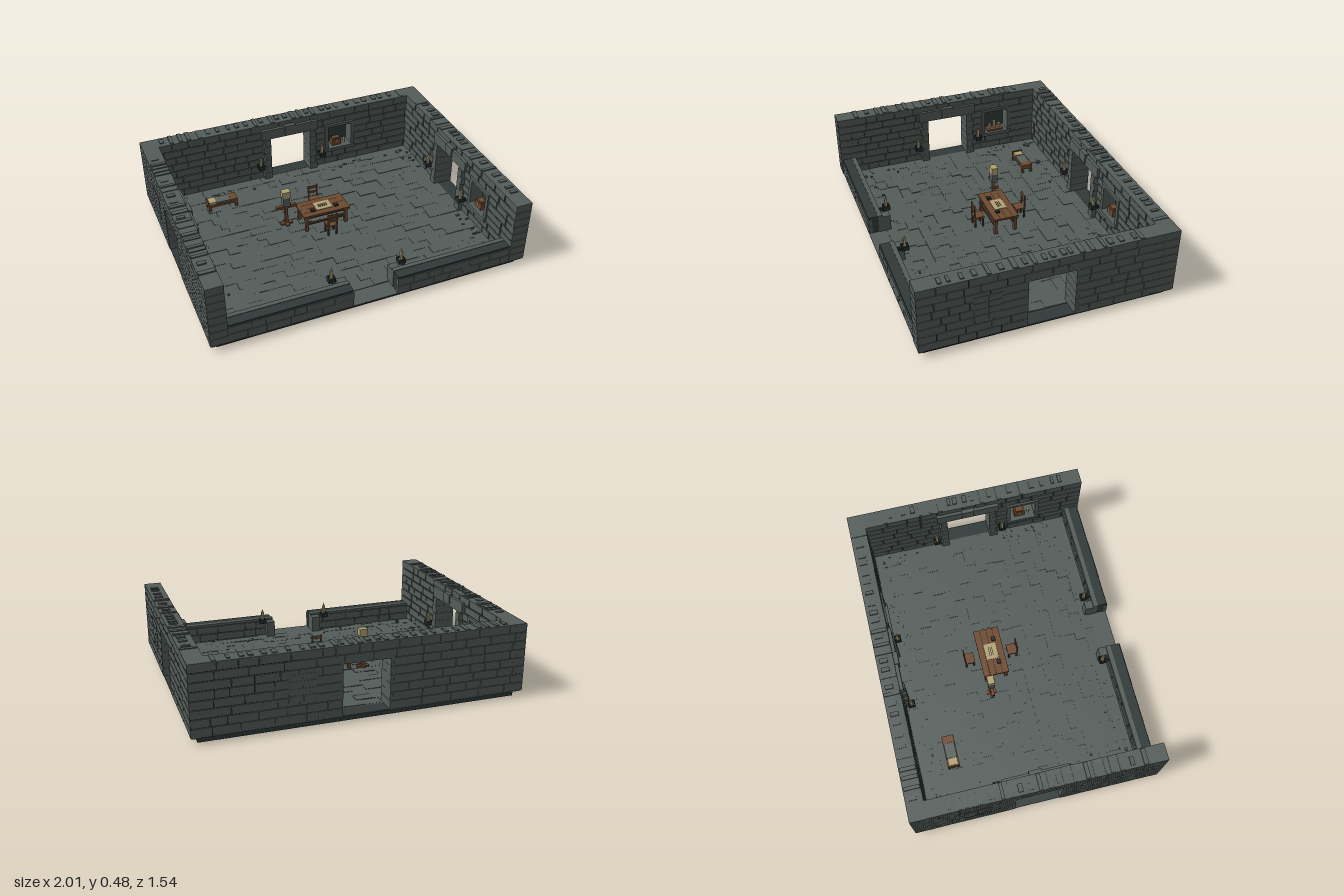
import * as THREE from 'three';
import { mergeGeometries } from 'three/addons/utils/BufferGeometryUtils.js';

const mat = (name, color) => Object.assign(new THREE.MeshStandardMaterial({ color }), { name });
const M = {
  stone: mat('stone grey', 0x545d5a),
  dark: mat('dark mortar', 0x303a39),
  iron: mat('dark iron', 0x262d2d),
  wood: mat('brown wood', 0x6e4a30),
  deep: mat('dark wood', 0x4f3423),
  cloth: mat('grey cloth', 0x59625f),
  tan: mat('parchment tan', 0xb3a275),
};

let seed = 7;
const rnd = (a = 0, b = 1) => {
  seed = (seed * 16807) % 2147483647;
  return a + (b - a) * (seed / 2147483647);
};

// box given by its minimum and maximum corners
const box = (x0, x1, y0, y1, z0, z1) =>
  new THREE.BoxGeometry(x1 - x0, y1 - y0, z1 - z0).translate((x0 + x1) / 2, (y0 + y1) / 2, (z0 + z1) / 2);

function part(parent, name, material, geos) {
  const mesh = new THREE.Mesh(mergeGeometries(geos.map((g) => (g.index ? g.toNonIndexed() : g))), material);
  mesh.name = name;
  parent.add(mesh);
  return mesh;
}

function group(parent, name, x = 0, y = 0, z = 0, ry = 0) {
  const g = new THREE.Group();
  g.name = name;
  g.position.set(x, y, z);
  g.rotation.y = ry;
  parent.add(g);
  return g;
}

const FLOOR = 0.045, COURSE = 0.0528, TOP = 0.467;

// courses of stones with random lengths, leaving out the openings [u0, u1, y0, y1]
function courses(u0, u1, rows, z0, z1, gap, openings) {
  const out = [];
  for (let r = 0; r < rows; r++) {
    const ya = FLOOR + r * COURSE, yb = ya + COURSE, mid = (ya + yb) / 2;
    let spans = [[u0, u1]];
    for (const [a, b, c, d] of openings) {
      if (mid < c || mid > d) continue;
      spans = spans.flatMap(([s, e]) => (b <= s || a >= e ? [[s, e]] : [[s, a], [b, e]]));
    }
    for (const [s, e] of spans) {
      let u = s;
      while (u < e - 0.001) {
        let n = u + rnd(0.07, 0.2);
        if (e - n < 0.06) n = e;
        const a = u === s ? u : u + gap / 2, b = n === e ? n : n - gap / 2;
        out.push(box(a, b, ya + gap / 2, yb - gap / 2, z0, z1 - rnd(0, 0.003)));
        u = n;
      }
    }
  }
  return out;
}

const rectHole = (a, b, c, d) =>
  new THREE.Path([[a, c], [a, d], [b, d], [b, c]].map((p) => new THREE.Vector2(...p)));

// mortar core with openings cut through
function core(u0, u1, z0, z1, holes) {
  const s = new THREE.Shape([[u0, FLOOR - 0.005], [u1, FLOOR - 0.005], [u1, TOP - 0.006], [u0, TOP - 0.006]]
    .map((p) => new THREE.Vector2(...p)));
  s.holes = holes.map((h) => rectHole(...h));
  return new THREE.ExtrudeGeometry(s, { depth: z1 - z0, bevelEnabled: false }).translate(0, 0, z0);
}

// tall wall: inner face at local z = 0, outside towards -z
function tallWall(parent, name, u0, u1, x, z, ry, contents) {
  const w = group(parent, name, x, 0, z, ry);
  const door = [-0.16, 0.16, FLOOR, 0.36], doorHole = [-0.15, 0.15, FLOOR, 0.36];
  const niche = [0.265, 0.485, 0.16, 0.35];
  part(w, 'wallCore', M.dark, [
    core(u0 + 0.004, u1 - 0.004, -0.085, -0.006, [doorHole, [0.285, 0.465, 0.17, 0.345]]),
    core(u0 + 0.004, u1 - 0.004, -0.099, -0.085, [doorHole]),
  ]);
  part(w, 'innerStones', M.stone, courses(u0, u1, 8, -0.03, 0.002, 0.009, [door, niche]));
  part(w, 'outerStones', M.stone, courses(u0, u1, 8, -0.105, -0.088, 0.004, [door]));
  // end quoins closing the wall ends
  const ends = [];
  for (let r = 0; r < 8; r++) {
    const y = FLOOR + r * COURSE, d = r % 2 ? 0.08 : 0.05;
    ends.push(box(u0 - 0.001, u0 + d, y + 0.002, y + COURSE - 0.002, -0.1055, -0.001));
    ends.push(box(u1 - d, u1 + 0.001, y + 0.002, y + COURSE - 0.002, -0.1055, -0.001));
  }
  part(w, 'quoins', M.stone, ends);
  // flat coping with small raised stones
  const cap = [box(u0, u1, TOP - 0.007, TOP, -0.105, 0)];
  for (let u = u0 + 0.12; u < u1 - 0.12; u += rnd(0.035, 0.08)) {
    const k = rnd() < 0.5;
    cap.push(box(u, u + rnd(0.018, 0.03), TOP, TOP + rnd(0.004, 0.01), k ? -0.1 : -0.085, k ? -0.004 : -0.035));
  }
  part(w, 'coping', M.stone, cap);
  // door surround
  const frame = [box(-0.205, 0.205, 0.36, 0.43, -0.02, 0.02), box(-0.16, 0.16, 0.358, 0.366, -0.104, 0),
    box(-0.04, 0.04, 0.375, 0.44, 0, 0.028)];
  for (const s of [-1, 1])
    for (let i = 0; i < 6; i++) {
      const y = FLOOR + i * 0.0525, e = i % 2 ? 0.185 : 0.195;
      frame.push(box(Math.min(s * 0.142, s * e), Math.max(s * 0.142, s * e), y, y + 0.051, -0.02, 0.028));
      frame.push(box(Math.min(s * 0.142, s * 0.165), Math.max(s * 0.142, s * 0.165), y, y + 0.051, -0.104, -0.02));
    }
  part(w, 'doorSurround', M.stone, frame);
  // niche surround and its blocked-up outer side
  part(w, 'nicheSurround', M.stone, [
    box(0.265, 0.485, 0.152, 0.177, -0.084, 0.02), box(0.265, 0.485, 0.342, 0.361, -0.084, 0.01),
    box(0.265, 0.29, 0.177, 0.342, -0.084, 0.01), box(0.46, 0.485, 0.177, 0.342, -0.084, 0.01),
  ]);
  const infill = [];
  for (let i = 0; i < 2; i++)
    for (let j = 0; j < 4; j++)
      infill.push(box(0.292 + i * 0.085, 0.373 + i * 0.085, 0.17 + j * 0.042, 0.209 + j * 0.042, -0.1075, -0.1));
  part(w, 'nicheInfill', M.stone, infill);
  contents(group(w, 'nicheContents', 0.375, 0.177, -0.03));
  for (const s of [-1, 1]) sconce(w, s * 0.225, 0.04);
}

// candle in an iron holder, bracketed to the wall behind
function sconce(parent, x, z, ry = 0) {
  const g = group(parent, 'sconce', x, 0, z, ry);
  const bars = [box(-0.022, 0.022, 0.15, 0.158, -0.022, 0.022), box(-0.006, 0.006, 0.145, 0.165, -0.045, 0)];
  for (const s of [-1, 1]) {
    bars.push(box(s * 0.019 - 0.003, s * 0.019 + 0.003, 0.158, 0.18, -0.022, 0.022));
    bars.push(box(-0.016, 0.016, 0.158, 0.18, s * 0.019 - 0.003, s * 0.019 + 0.003));
  }
  part(g, 'holder', M.iron, bars);
  part(g, 'candle', M.tan, [box(-0.008, 0.008, 0.158, 0.23, -0.008, 0.008),
    new THREE.ConeGeometry(0.007, 0.025, 6).translate(0, 0.242, 0)]);
}

const legs = (hx, hz, h, t) => [-1, 1].flatMap((i) => [-1, 1].map((j) =>
  box(i * hx - t, i * hx + t, 0, h, j * hz - t, j * hz + t)));

function chair(parent, z, ry) {
  const g = group(parent, 'chair', 0, FLOOR, z, ry);
  part(g, 'chairLegs', M.deep, legs(0.027, 0.025, 0.068, 0.005));
  part(g, 'chairSeat', M.wood, [box(-0.035, 0.035, 0.066, 0.078, -0.033, 0.033)]);
  part(g, 'chairBack', M.wood, [box(-0.034, -0.024, 0.078, 0.165, 0.025, 0.033), box(0.024, 0.034, 0.078, 0.165, 0.025, 0.033),
    box(-0.026, 0.026, 0.14, 0.16, 0.026, 0.032), box(-0.026, 0.026, 0.105, 0.12, 0.026, 0.032)]);
}

function table(parent) {
  const g = group(parent, 'table', -0.002, FLOOR, -0.057);
  const top = [];
  for (let i = 0; i < 4; i++) top.push(box(-0.158, 0.158, 0.107, 0.121, -0.082 + i * 0.041, -0.042 + i * 0.041));
  part(g, 'tableTop', M.wood, top);
  part(g, 'tableLegs', M.wood, legs(0.135, 0.065, 0.107, 0.01));
  part(g, 'tableRails', M.deep, [box(-0.135, 0.135, 0.045, 0.058, -0.071, -0.059), box(-0.135, 0.135, 0.045, 0.058, 0.059, 0.071),
    box(-0.135, 0.135, 0.092, 0.107, -0.07, 0.07)]);
  part(g, 'parchment', M.tan, [box(-0.053, 0.053, 0.121, 0.124, -0.04, 0.04)]);
  part(g, 'parchmentLines', M.iron, [-0.015, -0.004, 0.007].map((z) => box(-0.03, 0.03, 0.124, 0.1255, z, z + 0.004)));
  part(g, 'inkPots', M.iron, [-1, 1].map((s) => box(s * 0.08 - 0.013, s * 0.08 + 0.013, 0.121, 0.134, 0.02, 0.046)));
}

function bed(parent) {
  const g = group(parent, 'bed', -0.565, FLOOR, -0.453);
  part(g, 'bedFrame', M.wood, [...legs(0.09, 0.03, 0.05, 0.008), box(-0.1, 0.1, 0.035, 0.05, -0.038, 0.038),
    box(0.052, 0.1, 0.05, 0.066, -0.037, 0.037), box(-0.1, -0.092, 0.03, 0.075, -0.038, 0.038)]);
  part(g, 'blanket', M.cloth, [box(-0.044, 0.052, 0.05, 0.064, -0.033, 0.033)]);
  part(g, 'pillow', M.tan, [box(-0.09, -0.046, 0.05, 0.068, -0.03, 0.03)]);
}

function dummy(parent) {
  const g = group(parent, 'practiceDummy', -0.232, FLOOR, -0.113);
  part(g, 'dummyPost', M.wood, [box(-0.01, 0.01, 0, 0.16, -0.01, 0.01), box(-0.04, 0.04, 0, 0.012, -0.012, 0.012),
    box(-0.012, 0.012, 0, 0.012, -0.035, 0.035), box(-0.068, 0.068, 0.128, 0.148, -0.01, 0.01)]);
  part(g, 'dummyBody', M.cloth, [box(-0.023, 0.023, 0.148, 0.213, -0.02, 0.02)]);
  part(g, 'dummyHead', M.tan, [box(-0.027, 0.027, 0.213, 0.26, -0.022, 0.022)]);
}

// small stores kept in a niche
function stores(g) {
  part(g, 'chest', M.wood, [box(-0.05, 0.02, 0, 0.045, -0.025, 0.02), box(-0.04, 0.01, 0.045, 0.057, -0.02, 0.015)]);
  part(g, 'clasp', M.tan, [box(-0.02, -0.01, 0.025, 0.04, 0.02, 0.024)]);
  part(g, 'vial', M.tan, [new THREE.CylinderGeometry(0.008, 0.008, 0.035, 8).translate(0.048, 0.0175, 0)]);
}

function shelfCandles(g) {
  part(g, 'board', M.wood, [box(-0.06, 0.06, 0, 0.012, -0.03, 0.03)]);
  part(g, 'candles', M.tan, [-0.035, 0, 0.035].map((x, i) => box(x - 0.009, x + 0.009, 0.012, 0.045 + (i % 2) * 0.025, -0.009, 0.009)));
}

export function createModel() {
  const root = new THREE.Group();
  root.name = 'stoneRoom';
  part(root, 'plinth', M.dark, [box(-0.96, 0.96, 0, 0.041, -0.735, 0.735)]);

  // paving of abutting slabs at slightly different heights
  const paving = [box(-0.995, 0.995, 0.038, 0.044, -0.765, 0.765)];
  for (let z = -0.66; z < 0.65; z += 0.0655)
    for (let x = -0.9; x < 0.899;) {
      let n = x + rnd(0.06, 0.13);
      if (n > 0.85) n = 0.9;
      paving.push(box(x, n, 0.04, FLOOR + rnd(0, 0.005), z, z + 0.0655));
      x = n;
    }
  part(root, 'paving', M.stone, paving);
  // rubble around the edge of the floor
  const rubble = [];
  for (let i = 0; i < 70; i++) {
    const side = rnd() < 0.5 ? -1 : 1, along = rnd() < 0.5;
    const x = along ? rnd(-0.85, 0.85) : side * rnd(0.78, 0.87), z = along ? side * rnd(0.56, 0.64) : rnd(-0.62, 0.62);
    if (Math.abs(x) < 0.2 || Math.abs(z) < 0.2) continue;
    rubble.push(box(x, x + rnd(0.01, 0.028), FLOOR, FLOOR + rnd(0.006, 0.012), z, z + rnd(0.008, 0.018)));
  }
  part(root, 'rubble', M.stone, rubble);

  tallWall(root, 'backWall', -1, 1, 0, -0.665, 0, stores);
  tallWall(root, 'rightWall', -0.77, 0.665, -0.895, 0, Math.PI / 2, shelfCandles);
  tallWall(root, 'leftWall', -0.665, 0.77, 0.895, 0, -Math.PI / 2, stores);

  // low front wall with an entrance gap
  for (const s of [-1, 1]) {
    const w = group(root, 'frontWall');
    const a = s < 0 ? -0.9 : 0.14, b = s < 0 ? -0.14 : 0.9;
    part(w, 'frontCore', M.dark, [box(a + 0.003, b - 0.003, 0.04, 0.162, 0.675, 0.761)]);
    part(w, 'frontStones', M.stone, [...courses(a, b, 2, 0.74, 0.768, 0.003, []), ...courses(a, b, 2, 0.668, 0.7, 0.009, [])]);
    part(w, 'innerCoping', M.stone, [box(a, b, 0.152, 0.165, 0.672, 0.7)]);
    const p = s * 0.168;
    part(w, 'entrancePier', M.stone, [box(p - 0.028, p + 0.028, FLOOR, 0.152, 0.62, 0.7)]);
    sconce(w, s * 0.225, 0.625, Math.PI);
  }

  table(root);
  chair(root, 0.082, 0);
  chair(root, -0.203, Math.PI);
  bed(root);
  dummy(root);
  return root;
}
